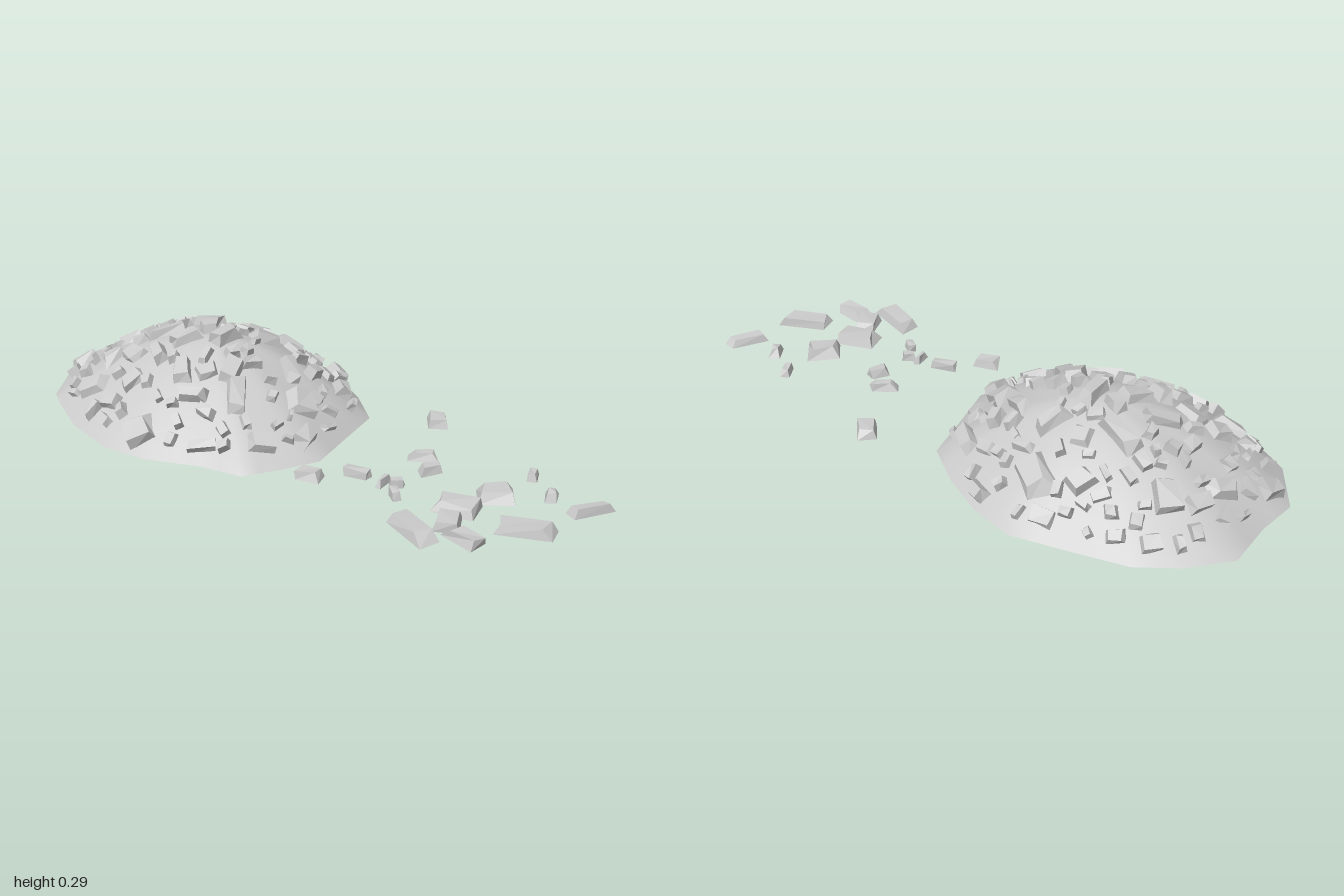
import * as THREE from 'three';
import { mergeVertices } from 'three/addons/utils/BufferGeometryUtils.js';

const BASE = 0.008, HEIGHT = 0.25, CX = 0, CZ = -0.42;

// Footprint of the mound (x, z), running from the front round by +x
const FOOTPRINT = [
  [0.02, 0.08], [0.2, 0.06], [0.31, -0.06], [0.4, -0.2], [0.45, -0.34], [0.43, -0.5], [0.4, -0.71],
  [0.33, -0.84], [0.22, -0.96], [0.05, -0.97], [-0.09, -1], [-0.26, -0.91], [-0.31, -0.84], [-0.4, -0.69],
  [-0.455, -0.51], [-0.445, -0.36], [-0.38, -0.18], [-0.36, -0.04], [-0.26, 0.03], [-0.14, 0.1],
];

// Loose stones in front: x, z, length, width, heading in degrees
const LOOSE = [
  [-0.28, 0.16, 0.08, 0.055, 75], [-0.19, 0.27, 0.08, 0.03, 80], [-0.19, 0.365, 0.06, 0.02, 0],
  [-0.235, 0.435, 0.05, 0.03, -50], [-0.175, 0.405, 0.045, 0.025, 60], [-0.045, 0.44, 0.07, 0.04, 35],
  [0.015, 0.375, 0.1, 0.04, 60], [0.255, 0.285, 0.08, 0.06, -30], [-0.37, 0.575, 0.17, 0.07, -65],
  [-0.33, 0.725, 0.12, 0.06, -75], [-0.28, 0.645, 0.09, 0.07, -20], [-0.19, 0.625, 0.14, 0.08, 80],
  [-0.065, 0.68, 0.12, 0.1, 55], [0.105, 0.71, 0.06, 0.03, -20], [0.025, 0.815, 0.06, 0.035, -25],
  [-0.19, 0.85, 0.16, 0.07, 70], [0.015, 0.945, 0.14, 0.04, 35],
];

// Larger stones on the mound, same columns
const LARGE = [
  [-0.265, -0.72, 0.11, 0.08, 75], [-0.385, -0.42, 0.11, 0.1, 45], [-0.03, -0.06, 0.1, 0.09, 45],
  [0.3, -0.34, 0.15, 0.1, -45], [0.2, -0.72, 0.1, 0.08, -45], [0.11, -0.52, 0.16, 0.06, -65],
  [-0.02, -0.6, 0.13, 0.04, 60], [0.06, -0.83, 0.11, 0.08, 40], [-0.06, -0.49, 0.11, 0.06, 35],
  [-0.18, -0.19, 0.13, 0.06, -40], [-0.12, -0.26, 0.1, 0.06, -20], [-0.19, -0.4, 0.11, 0.06, -35],
  [0, -0.38, 0.12, 0.06, 5], [0.14, -0.31, 0.12, 0.06, 35], [0.27, -0.48, 0.08, 0.07, 30],
  [0.19, -0.05, 0.1, 0.05, -45], [0.35, -0.18, 0.1, 0.05, -60], [0.06, -0.16, 0.12, 0.05, -55],
  [-0.24, -0.05, 0.1, 0.06, 50], [-0.24, -0.32, 0.1, 0.05, 65], [-0.15, -0.53, 0.1, 0.05, -50],
  [-0.34, -0.21, 0.1, 0.04, 60],
];

function seeded(seed) {
  return () => (seed = (seed * 16807) % 2147483647) / 2147483647;
}

// Height above ground at a fraction t of the way from centre to rim
const profile = (t) => BASE + HEIGHT * (1 - Math.pow(Math.min(t, 1), 1.7));

// Distance from centre to rim along a direction
function rimRadius(dx, dz) {
  for (let i = 0; i < FOOTPRINT.length; i++) {
    const a = FOOTPRINT[i], b = FOOTPRINT[(i + 1) % FOOTPRINT.length];
    const ax = a[0] - CX, az = a[1] - CZ, ex = b[0] - a[0], ez = b[1] - a[1];
    const d = dx * ez - dz * ex;
    const r = (ax * ez - az * ex) / d, s = (ax * dz - az * dx) / d;
    if (r > 0 && s >= 0 && s <= 1) return r;
  }
  return 0.5;
}

function mountHeight(x, z) {
  const r = Math.hypot(x - CX, z - CZ);
  return r < 1e-4 ? profile(0) : profile(r / rimRadius((x - CX) / r, (z - CZ) / r));
}

function surfaceNormal(x, z) {
  const e = 0.02;
  return new THREE.Vector3(
    mountHeight(x - e, z) - mountHeight(x + e, z), 2 * e,
    mountHeight(x, z - e) - mountHeight(x, z + e)).normalize();
}

// Chipped block: box with a smaller, shifted top and uneven corners; its foot is at y = 0
function stoneGeometry(length, width, height, rand) {
  const geo = new THREE.BoxGeometry(1, 1, 1);
  const corners = Array.from({ length: 8 }, () => [rand() - 0.5, rand() - 0.5, rand()]);
  const taper = 0.62 + rand() * 0.22, shift = (rand() - 0.5) * 0.16;
  const p = geo.attributes.position;
  for (let i = 0; i < p.count; i++) {
    const x = p.getX(i), y = p.getY(i), z = p.getZ(i);
    const top = y > 0;
    const c = corners[(x > 0 ? 1 : 0) + (top ? 2 : 0) + (z > 0 ? 4 : 0)];
    const k = top ? taper : 1;
    p.setXYZ(i, (x * k + (top ? shift : 0) + c[0] * 0.2) * length,
      top ? height * (0.8 + 0.2 * c[2]) : 0,
      (z * k + c[1] * 0.2) * width);
  }
  geo.computeVertexNormals();
  return geo;
}

export function createModel() {
  const model = new THREE.Group();
  model.name = 'rubblePile';
  const rand = seeded(4711);
  const soilMat = new THREE.MeshStandardMaterial({ color: 0xcccccc });
  const stoneMat = new THREE.MeshStandardMaterial({ color: 0xcccccc, flatShading: true });

  // Mound: a lathed dome stretched onto the irregular footprint
  const n = FOOTPRINT.length * 2, rings = 12;
  const rim = Array.from({ length: n }, (_, i) => {
    const a = FOOTPRINT[i >> 1], b = FOOTPRINT[((i + 1) >> 1) % FOOTPRINT.length];
    return new THREE.Vector2((a[0] + b[0]) / 2, (a[1] + b[1]) / 2);
  });
  const section = Array.from({ length: rings + 1 }, (_, j) =>
    new THREE.Vector2(1 - j / rings, profile(1 - j / rings)));
  let dome = new THREE.LatheGeometry(section, n);
  const pos = dome.attributes.position;
  for (let i = 0; i <= n; i++) {
    for (let j = 0; j <= rings; j++) {
      const t = section[j].x, edge = rim[i % n];
      pos.setXYZ(i * (rings + 1) + j, CX + (edge.x - CX) * t, section[j].y, CZ + (edge.y - CZ) * t);
    }
  }
  dome.deleteAttribute('normal');
  dome.deleteAttribute('uv');
  dome = mergeVertices(dome);
  dome.computeVertexNormals();
  const mound = new THREE.Mesh(dome, soilMat);
  mound.name = 'mound';
  model.add(mound);

  // Flat underside
  const under = new THREE.Mesh(new THREE.ShapeGeometry(new THREE.Shape(rim)).rotateX(Math.PI / 2), soilMat);
  under.name = 'moundUnderside';
  under.position.y = BASE;
  model.add(under);

  // Stones bedded in the mound, leaning with its slope
  const bedded = new THREE.Group();
  bedded.name = 'beddedStones';
  model.add(bedded);
  const up = new THREE.Vector3(0, 1, 0);
  function bedStone([x, z, length, width, heading], height) {
    const stone = new THREE.Mesh(stoneGeometry(length, width, height, rand), stoneMat);
    stone.name = 'beddedStone';
    const normal = surfaceNormal(x, z);
    stone.quaternion.setFromUnitVectors(up, normal)
      .multiply(new THREE.Quaternion().setFromAxisAngle(up, -heading * Math.PI / 180));
    stone.position.set(x, mountHeight(x, z), z).addScaledVector(normal, -0.014);
    bedded.add(stone);
  }
  const placed = [];
  for (const s of LARGE) {
    bedStone(s, 0.045 + rand() * 0.012);
    placed.push(s);
  }

  // Smaller stones fill the gaps between the large ones
  for (let i = 0; i < 900 && placed.length < 112; i++) {
    const a = rand() * Math.PI * 2, t = Math.sqrt(rand()) * 0.9;
    const r = t * rimRadius(Math.sin(a), Math.cos(a));
    const x = CX + r * Math.sin(a), z = CZ + r * Math.cos(a);
    const length = 0.04 + rand() * 0.05, width = length * (0.45 + rand() * 0.4);
    if (placed.some((q) => Math.hypot(q[0] - x, q[1] - z) < (q[2] + length) * 0.42)) continue;
    const s = [x, z, length, width, rand() * 180];
    bedStone(s, 0.035 + rand() * 0.015);
    placed.push(s);
  }

  // Stones that rolled out in front
  const loose = new THREE.Group();
  loose.name = 'looseStones';
  model.add(loose);
  for (const [x, z, length, width, heading] of LOOSE) {
    const stone = new THREE.Mesh(stoneGeometry(length, width, 0.026 + width * 0.12, rand), stoneMat);
    stone.name = 'looseStone';
    stone.position.set(x, 0.033, z);
    stone.rotation.y = -heading * Math.PI / 180;
    loose.add(stone);
  }
  return model;
}
